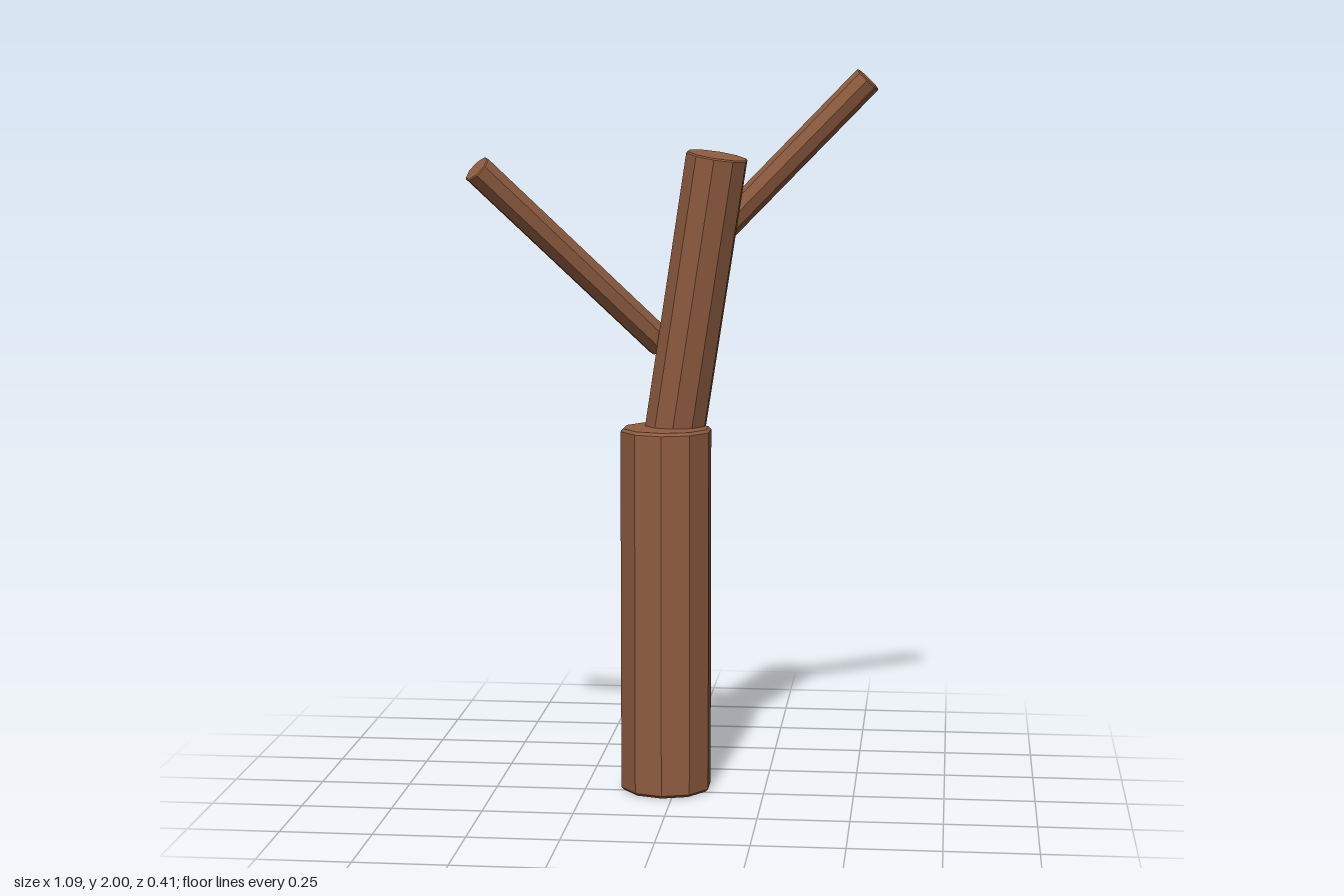
import * as THREE from 'three';

const bark = new THREE.MeshStandardMaterial({ color: 0x8f5c40 });
bark.name = 'bark brown';

// Faceted log with slightly bevelled ends, running from point a to point b
function log(name, a, b, radius, sides, bevel) {
  const start = new THREE.Vector3(...a);
  const axis = new THREE.Vector3(...b).sub(start);
  const h = axis.length();
  const profile = [
    [0, 0], [radius - bevel, 0], [radius, bevel],
    [radius, h - bevel], [radius - bevel, h], [0, h],
  ].map(([x, y]) => new THREE.Vector2(x, y));
  const geometry = new THREE.LatheGeometry(profile, sides).toNonIndexed();
  geometry.computeVertexNormals(); // flat facets
  const mesh = new THREE.Mesh(geometry, bark);
  mesh.name = name;
  mesh.position.copy(start);
  mesh.quaternion.setFromUnitVectors(new THREE.Vector3(0, 1, 0), axis.normalize());
  return mesh;
}

export function createModel() {
  const tree = new THREE.Group();
  tree.name = 'bareTree';
  tree.add(
    log('lowerTrunk', [-0.027, 0, -0.043], [-0.027, 1.02, -0.043], 0.128, 10, 0.008),
    log('upperTrunk', [-0.025, 0.897, -0.105], [0.113, 1.768, -0.04], 0.086, 10, 0.004),
    log('rightBranch', [-0.046, 1.245, -0.112], [-0.512, 1.738, 0.165], 0.042, 8, 0.003),
    log('leftBranch', [0.053, 1.495, -0.172], [0.517, 1.972, -0.136], 0.04, 8, 0.003),
  );
  return tree;
}
